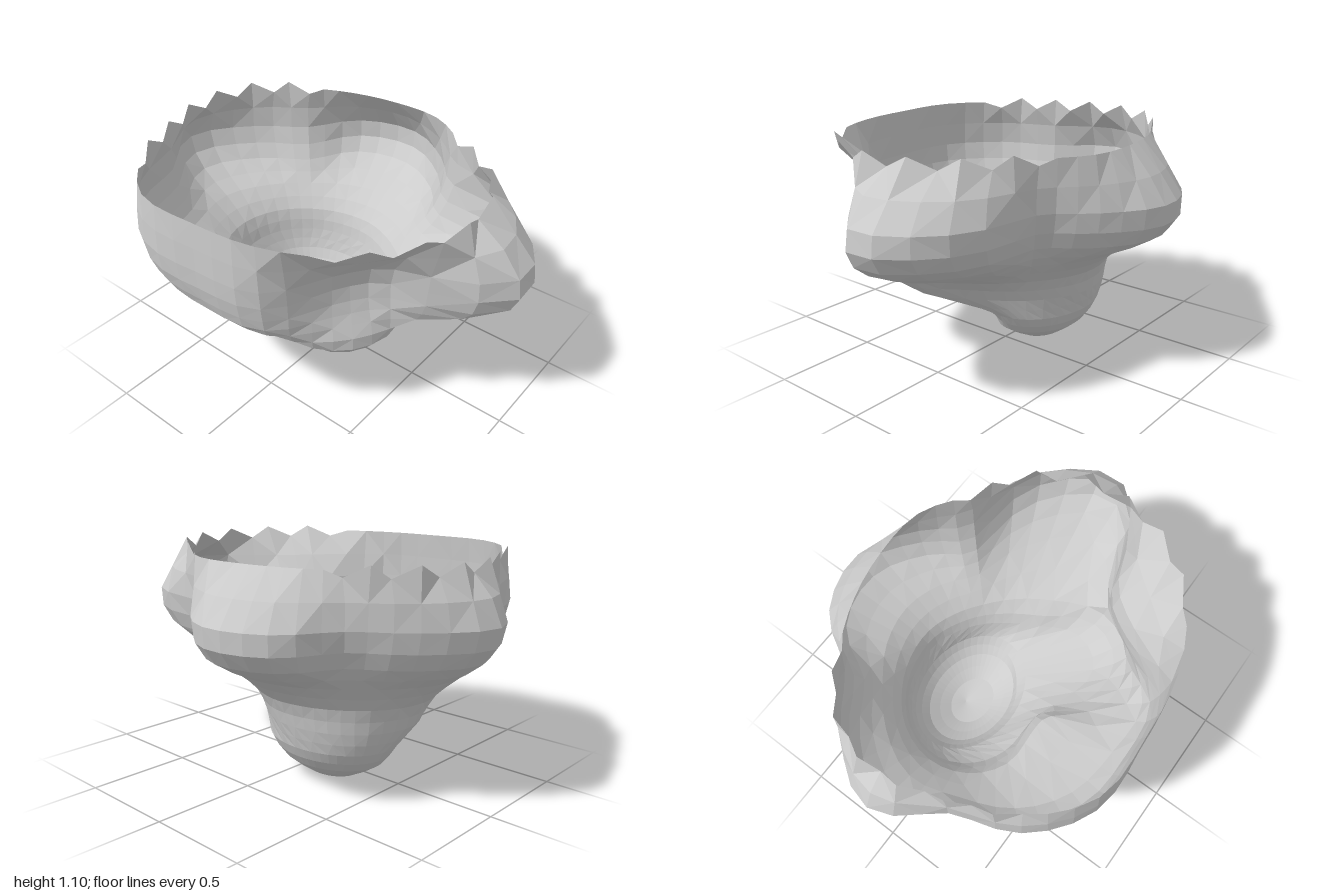
import * as THREE from 'three';

const COLS = 48, ROWS = 16;
const AXIS_X = -0.1;
const FOOT = { x: -0.18, z: -0.1, rx: 0.34, rz: 0.26 };

// Lobed wall sections: height, then radii every 22.5 degrees from +x towards +z
const sections = [
  [1.07, [.87, .88, .85, .81, .79, .84, .80, .75, .77, .75, .66, .62, .62, .66, .67, .79]],
  [0.83, [1.08, .69, .66, .80, .80, .86, .84, .77, .90, .78, .68, .79, .81, .71, .66, .96]],
  [0.66, [1.06, .67, .64, .78, .78, .82, .78, .72, .82, .72, .62, .74, .75, .66, .60, .90]],
  [0.55, [.87, .68, .67, .74, .70, .71, .69, .65, .66, .60, .55, .55, .55, .53, .52, .70]],
  [0.43, [.52, .66, .68, .58, .35, .35, .45, .51, .53, .51, .47, .44, .42, .40, .40, .44]],
  [0.31, [.40, .52, .52, .36, .28, .29, .36, .43, .48, .48, .45, .41, .38, .35, .34, .35]],
];

// Rounded foot: height and scale of its elliptical sections
const footSections = [[0.2, 1], [0.1, 0.78], [0.025, 0.4]];

// Smooth closed interpolation around one section
function radiusAt(radii, u) {
  const n = radii.length, i = Math.floor(u * n), t = u * n - i;
  const [a, b, c, d] = [-1, 0, 1, 2].map(k => radii[(i + k + n) % n]);
  return b + 0.5 * t * (c - a + t * (2 * a - 5 * b + 4 * c - d + t * (3 * (b - c) + d - a)));
}

// One wall line running from the rim down to the foot
function wallLine(col) {
  const u = col / COLS, cos = Math.cos(u * Math.PI * 2), sin = Math.sin(u * Math.PI * 2);
  const wall = sections.map(([y, radii]) => {
    const r = radiusAt(radii, u);
    return new THREE.Vector3(AXIS_X + cos * r, y, sin * r);
  });
  const foot = footSections.map(([y, s]) =>
    new THREE.Vector3(FOOT.x + cos * FOOT.rx * s, y, FOOT.z + sin * FOOT.rz * s));
  const line = new THREE.CatmullRomCurve3([...wall, ...foot], false, 'catmullrom', 0.5).getPoints(ROWS);

  // Torn, jagged rim on the two sides
  if (Math.abs(cos) > 0.64) {
    const s = col % 2 ? 1 : -1;
    line[0].y += s > 0 ? 0.025 : -0.03;
    line[0].x += s * 0.012 * Math.sign(cos);
  }
  return line;
}

export function createModel() {
  const pos = [], index = [];
  for (let c = 0; c < COLS; c++) for (const p of wallLine(c)) pos.push(p.x, p.y, p.z);
  const id = (c, r) => (c % COLS) * (ROWS + 1) + r;

  // Wall facets with alternating diagonals
  for (let c = 0; c < COLS; c++) {
    for (let r = 0; r < ROWS; r++) {
      const a = id(c, r), b = id(c + 1, r), d = id(c, r + 1), e = id(c + 1, r + 1);
      if ((c + r) % 2) index.push(a, b, d, b, e, d);
      else index.push(a, b, e, a, e, d);
    }
  }

  // Closed tip of the foot
  const tip = pos.length / 3;
  pos.push(-0.2, 0, -0.13);
  for (let c = 0; c < COLS; c++) index.push(id(c, ROWS), id(c + 1, ROWS), tip);

  const geo = new THREE.BufferGeometry();
  geo.setAttribute('position', new THREE.Float32BufferAttribute(pos, 3));
  geo.setIndex(index);
  geo.computeVertexNormals();

  const bowl = new THREE.Mesh(geo, new THREE.MeshStandardMaterial({
    color: 0xcccccc, flatShading: true, side: THREE.DoubleSide,
  }));
  bowl.name = 'lobedBowl';
  const group = new THREE.Group();
  group.name = 'brokenBowl';
  group.add(bowl);
  return group;
}
